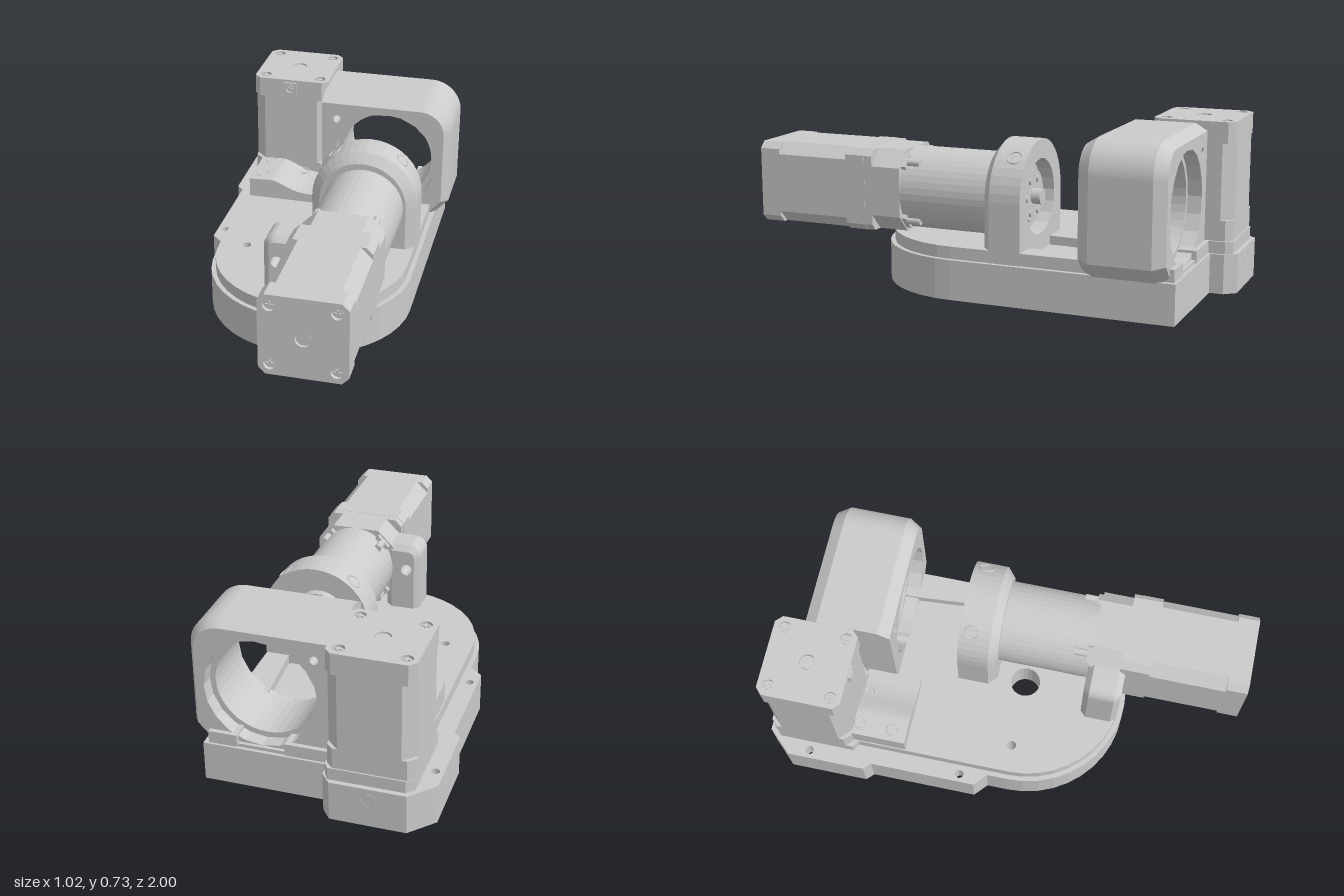
import * as THREE from 'three';

const grey = new THREE.MeshStandardMaterial({ color: 0xcccccc, flatShading: true });

function add(parent, name, geometry, x = 0, y = 0, z = 0) {
  const mesh = new THREE.Mesh(geometry, grey);
  mesh.name = name;
  mesh.position.set(x, y, z);
  parent.add(mesh);
  return mesh;
}

const box = (w, h, d) => new THREE.BoxGeometry(w, h, d);
const polygon = (pts) => new THREE.Shape(pts.map(([x, y]) => new THREE.Vector2(x, y)));
const circle = (x, y, r) => new THREE.Path().absarc(x, y, r, 0, Math.PI * 2, true);
// disc whose axis runs along z
const disc = (r, d) => new THREE.CylinderGeometry(r, r, d, 32).rotateX(Math.PI / 2);

// rounded slot between two points
function slot(x1, y1, x2, y2, r) {
  const a = Math.atan2(y2 - y1, x2 - x1), q = Math.PI / 2;
  return new THREE.Path().absarc(x2, y2, r, a - q, a + q).absarc(x1, y1, r, a + q, a + 3 * q);
}

function extrude(shape, z0, z1, holes = [], bevel) {
  const s = shape.clone();
  s.holes.push(...holes);
  const t = bevel ? bevel.thickness : 0;
  return new THREE.ExtrudeGeometry(s, {
    depth: z1 - z0 - 2 * t, curveSegments: 10, bevelEnabled: !!bevel, bevelSegments: 1,
    bevelThickness: t, bevelSize: bevel?.size, bevelOffset: bevel ? -bevel.size : 0,
  }).translate(0, 0, z0 + t);
}

// turn a bevelled hole into a straight bore of radius r
function straighten(geometry, x, y, r, reach) {
  const p = geometry.attributes.position;
  for (let i = 0; i < p.count; i++) {
    const dx = p.getX(i) - x, dy = p.getY(i) - y, d = Math.hypot(dx, dy);
    if (d < reach) p.setXY(i, x + (dx * r) / d, y + (dy * r) / d);
  }
  return geometry;
}

// horizontal slab: shape coordinates are x and z
const slab = (shape, y0, y1, holes) =>
  extrude(shape, 0, y1 - y0, holes).rotateX(Math.PI / 2).translate(0, y1, 0);

// base footprint with a round front and a side flange, inset by d
function footprint(d) {
  const s = new THREE.Shape().absarc(0.01, 0.07, 0.44 - d, 0, Math.PI);
  [[-0.43 + d, -0.02], [-0.485 + d, -0.07], [-0.485 + d, -0.53], [-0.515 + d, -0.56],
    [-0.515 + d, -0.9], [-0.42 + d / 2, -1 + d], [-0.11 - d / 2, -1 + d], [-0.07 - d, -0.95],
    [-0.07 - d, -0.89 + d], [0.45 - d, -0.89 + d]].forEach((p) => s.lineTo(...p));
  return s;
}

const square = (h, c) => polygon([[-h + c, -h], [h - c, -h], [h, -h + c], [h, h - c],
  [h - c, h], [-h + c, h], [-h, h - c], [-h, -h + c]]);
const corners = (r) => [[-r, -r], [r, -r], [r, r], [-r, r]];

function screw(parent, x, y, z) {
  const g = new THREE.Group();
  g.name = 'screw';
  add(g, 'screwHead', disc(0.02, 0.004));
  add(g, 'screwCross', box(0.03, 0.008, 0.007), 0, 0, 0.004);
  add(g, 'screwCross', box(0.008, 0.03, 0.007), 0, 0, 0.004);
  g.position.set(x, y, z);
  parent.add(g);
  return g;
}

// square motor running along +z from 0 to 0.505
function motor(name) {
  const g = new THREE.Group();
  g.name = name;
  const small = square(0.176, 0.028);
  add(g, 'motorFoot', extrude(small, 0, 0.09));
  add(g, 'motorBody', extrude(square(0.176, 0.05), 0.09, 0.415));
  add(g, 'motorHead', extrude(small, 0.415, 0.49));
  add(g, 'motorCap', extrude(small, 0.49, 0.505,
    [circle(0, 0, 0.033), ...corners(0.13).map(([x, y]) => circle(x, y, 0.025))]));
  corners(0.13).forEach(([x, y]) => screw(g, x, y, 0.495));
  add(g, 'shaftEnd', disc(0.029, 0.01), 0, 0, 0.495);
  // connector frame on one side near the head
  const frame = extrude(square(0.028, 0.002), 0, 0.01, [circle(0, 0, 0.02)]);
  add(g, 'connectorFrame', frame, 0, -0.175, 0.465).rotation.x = Math.PI / 2;
  const s = screw(g, 0, -0.178, 0.465);
  s.rotation.x = Math.PI / 2;
  s.scale.setScalar(0.8);
  return g;
}

export function createModel() {
  const model = new THREE.Group();
  model.name = 'twoMotorDriveUnit';
  const ax = 0.205, ay = 0.415;

  // base: deep recess below, floor with holes and shallow pockets, raised deck
  const base = new THREE.Group();
  base.name = 'base';
  model.add(base);
  const through = [circle(0.01, 0.06, 0.065), circle(-0.29, 0.06, 0.02)];
  const floorHoles = [...through,
    circle(-0.48, -0.81, 0.018), circle(-0.45, -0.14, 0.018), circle(-0.27, -0.78, 0.1),
    circle(0.27, -0.11, 0.03), circle(0.11, -0.13, 0.027), circle(0.03, -0.15, 0.027)];
  const pockets = [slot(0.08, -0.41, -0.07, -0.66, 0.028), slot(-0.3, -0.27, -0.34, -0.43, 0.025)];
  add(base, 'baseRim', slab(footprint(0), 0, 0.08, [footprint(0.015)]));
  add(base, 'pocketLayer', slab(footprint(0), 0.08, 0.09, [...floorHoles, ...pockets]));
  add(base, 'baseFloor', slab(footprint(0), 0.09, 0.17, floorHoles));
  // the deck is cut away by a trough below the bore
  const deck = new THREE.Shape().absarc(0.01, 0.07, 0.42, 0, Math.PI);
  [[-0.41, -0.6], [-0.44, -0.62], [-0.44, -0.95], [-0.41, -0.98], [-0.1, -0.98], [-0.08, -0.95],
    [-0.08, -0.88], [0.11, -0.88], [0.11, -0.5], [0.09, -0.235], [0.33, -0.235], [0.31, -0.5],
    [0.31, -0.88], [0.43, -0.88]].forEach((p) => deck.lineTo(...p));
  add(base, 'deck', slab(deck, 0.17, 0.222, through));
  add(base, 'troughFloor', box(0.23, 0.02, 0.65), 0.21, 0.174, -0.55);
  add(base, 'cableRing', new THREE.TorusGeometry(0.028, 0.007, 8, 24), -0.265, 0.12, -0.994);

  // bracket with a rounded shoulder, chamfered faces and a lipped bore
  const bracket = new THREE.Group();
  bracket.name = 'bracket';
  model.add(bracket);
  const frame = new THREE.Shape().moveTo(-0.085, 0.1).lineTo(0.45, 0.1).lineTo(0.45, 0.165)
    .lineTo(0.51, 0.23).absarc(0.37, 0.575, 0.14, 0, Math.PI / 2).lineTo(-0.085, 0.715);
  const body = extrude(frame, -0.86, -0.5, [circle(0.21, 0.42, 0.205), circle(-0.014, 0.61, 0.004)],
    { size: 0.03, thickness: 0.05 });
  straighten(body, 0.21, 0.42, 0.235, 0.245);
  straighten(body, -0.014, 0.61, 0.018, 0.036);
  // the side against the upright motor stays flat
  const pos = body.attributes.position;
  for (let i = 0; i < pos.count; i++) if (pos.getX(i) < -0.052) pos.setX(i, -0.085);
  body.computeVertexNormals();
  add(bracket, 'bracketFrame', body);
  const lip = [[0.237, 0.12], [0.21, 0.12], [0.21, -0.12], [0.237, -0.12]];
  add(bracket, 'bearingLip', new THREE.LatheGeometry(
    lip.map(([r, h]) => new THREE.Vector2(r, h)), 40).rotateX(Math.PI / 2), 0.21, 0.42, -0.68);

  // upright motor and the contoured block at its foot
  const upright = motor('uprightMotor');
  upright.rotation.x = -Math.PI / 2;
  upright.position.set(-0.265, 0.22, -0.798);
  model.add(upright);
  const block = new THREE.Shape().moveTo(-0.405, 0.2).lineTo(-0.085, 0.2).lineTo(-0.085, 0.262)
    .lineTo(-0.12, 0.262).bezierCurveTo(-0.21, 0.262, -0.25, 0.31, -0.3, 0.315)
    .lineTo(-0.405, 0.31);
  add(model, 'footBlock', extrude(block, -0.63, -0.39));
  for (const [x, y, z] of [[-0.355, 0.311, -0.595], [-0.195, 0.276, -0.595], [-0.355, 0.311, -0.45]])
    add(model, 'blockBolt', new THREE.TorusGeometry(0.024, 0.004, 8, 20), x, y, z).rotation.x = Math.PI / 2;

  // arched clamp, chamfered on its front
  const clamp = new THREE.Group();
  clamp.name = 'archedClamp';
  model.add(clamp);
  const arch = new THREE.Shape().moveTo(-0.032, 0.12).lineTo(0.432, 0.12)
    .absarc(0.2, 0.424, 0.232, 0, Math.PI);
  add(clamp, 'archBack', extrude(arch, -0.235, -0.1, [circle(ax, ay, 0.16)]));
  add(clamp, 'archFront', extrude(arch, -0.17, -0.065, [], { size: 0.04, thickness: 0.035 }));
  for (const s of [-1, 1]) {
    const ring = add(clamp, 'sightHole', new THREE.TorusGeometry(0.03, 0.004, 8, 24),
      0.2 + s * 0.152, 0.424 + 0.174, -0.182);
    ring.lookAt(0.2 + s * 0.76, 0.424 + 0.87, -0.182);
  }

  // horizontal motor with gearbox, output hub, corner lugs and tie rods
  const drive = new THREE.Group();
  drive.name = 'horizontalDrive';
  drive.position.set(ax, ay, 0);
  model.add(drive);
  add(drive, 'gearboxTube', new THREE.CylinderGeometry(0.175, 0.175, 0.43, 40).rotateX(Math.PI / 2), 0, 0, 0.115);
  add(drive, 'outputHub', disc(0.11, 0.1), 0, 0, -0.155);
  add(drive, 'outputShaft', disc(0.033, 0.06), 0, 0, -0.215);
  for (let i = 0; i < 6; i++) {
    const a = (i * Math.PI) / 3;
    add(drive, 'hubBolt', disc(0.014, 0.012), 0.078 * Math.cos(a), 0.078 * Math.sin(a), -0.208);
  }
  add(drive, 'gearboxCollar', extrude(square(0.175, 0.07), 0.33, 0.46));
  add(drive, 'collarFlange', extrude(square(0.175, 0.028), 0.46, 0.495));
  corners(0.125).forEach(([x, y]) => {
    const lug = add(drive, 'cornerLug', box(0.07, 0.03, 0.05), x, y, 0.335);
    lug.rotation.z = Math.atan2(y, x) + Math.PI / 2;
    add(drive, 'tieRod', disc(0.016, 0.21), x, y, 0.36);
  });
  const front = motor('horizontalMotor');
  front.position.z = 0.495;
  drive.add(front);

  // support post beside the gearbox
  const post = new THREE.Shape().moveTo(-0.095, 0.1).lineTo(0.06, 0.1).lineTo(0.06, 0.53)
    .lineTo(-0.04, 0.53).absarc(-0.04, 0.475, 0.055, Math.PI / 2, Math.PI);
  const postBody = extrude(post, 0.325, 0.485, [circle(-0.035, 0.415, 0.005)],
    { size: 0.025, thickness: 0.025 });
  straighten(postBody, -0.035, 0.415, 0.026, 0.032).computeVertexNormals();
  add(model, 'supportPost', postBody);
  return model;
}
